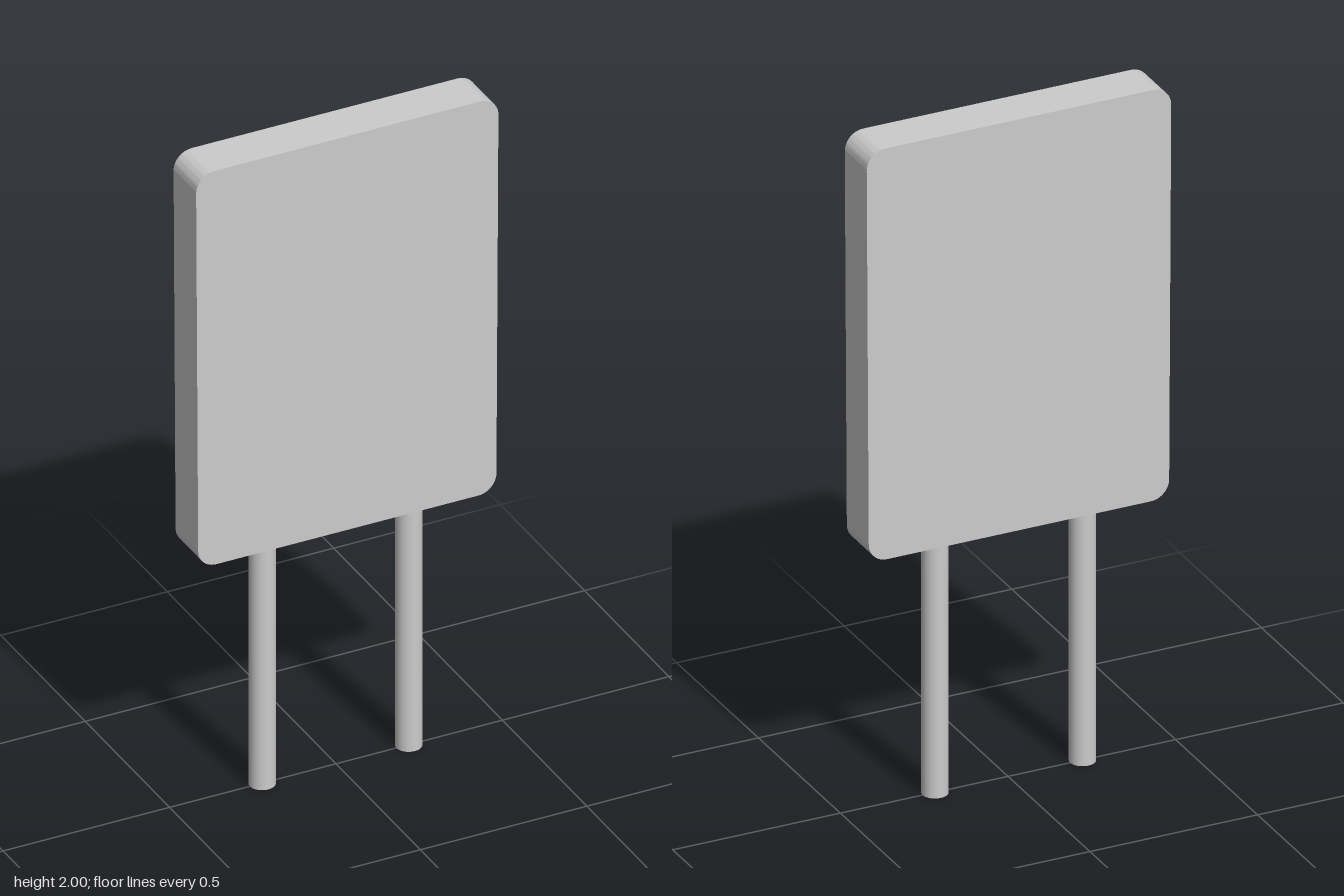
import * as THREE from 'three';
import { toCreasedNormals } from 'three/addons/utils/BufferGeometryUtils.js';

const DEPTH = 0.134;
const BOTTOM = 0.768;
const TOP = 2;

// Rounded plate outline, slightly wider at the top
function plateOutline() {
  const s = new THREE.Shape();
  const r = 0.055, k = r * 0.45; // corner size and curve handle inset
  const wb = 0.448, wt = 0.454;
  s.moveTo(-wb + r, BOTTOM);
  s.lineTo(wb - r, BOTTOM);
  s.bezierCurveTo(wb - k, BOTTOM, wb, BOTTOM + k, wb, BOTTOM + r);
  s.lineTo(wt, TOP - r);
  s.bezierCurveTo(wt, TOP - k, wt - k, TOP, wt - r, TOP);
  s.lineTo(-wt + r, TOP);
  s.bezierCurveTo(-wt + k, TOP, -wt, TOP - k, -wt, TOP - r);
  s.lineTo(-wb, BOTTOM + r);
  s.bezierCurveTo(-wb, BOTTOM + k, -wb + k, BOTTOM, -wb + r, BOTTOM);
  return s;
}

export function createModel() {
  const group = new THREE.Group();
  group.name = 'twoLeadComponent';
  const material = new THREE.MeshStandardMaterial({ color: 0xcccccc });

  // Flat body
  const plate = new THREE.ExtrudeGeometry(plateOutline(), {
    depth: DEPTH, bevelEnabled: false, curveSegments: 12,
  });
  plate.translate(0, 0, -DEPTH / 2);
  const body = new THREE.Mesh(toCreasedNormals(plate, Math.PI / 6), material);
  body.name = 'body';
  group.add(body);

  // Two round leads, sunk a little into the body
  const leadHeight = BOTTOM + 0.02;
  const leadGeometry = new THREE.CylinderGeometry(0.037, 0.037, leadHeight, 32);
  for (const [name, x] of [['rightLead', -0.222], ['leftLead', 0.218]]) {
    const lead = new THREE.Mesh(leadGeometry, material);
    lead.name = name;
    lead.position.set(x, leadHeight / 2, 0);
    group.add(lead);
  }
  return group;
}
